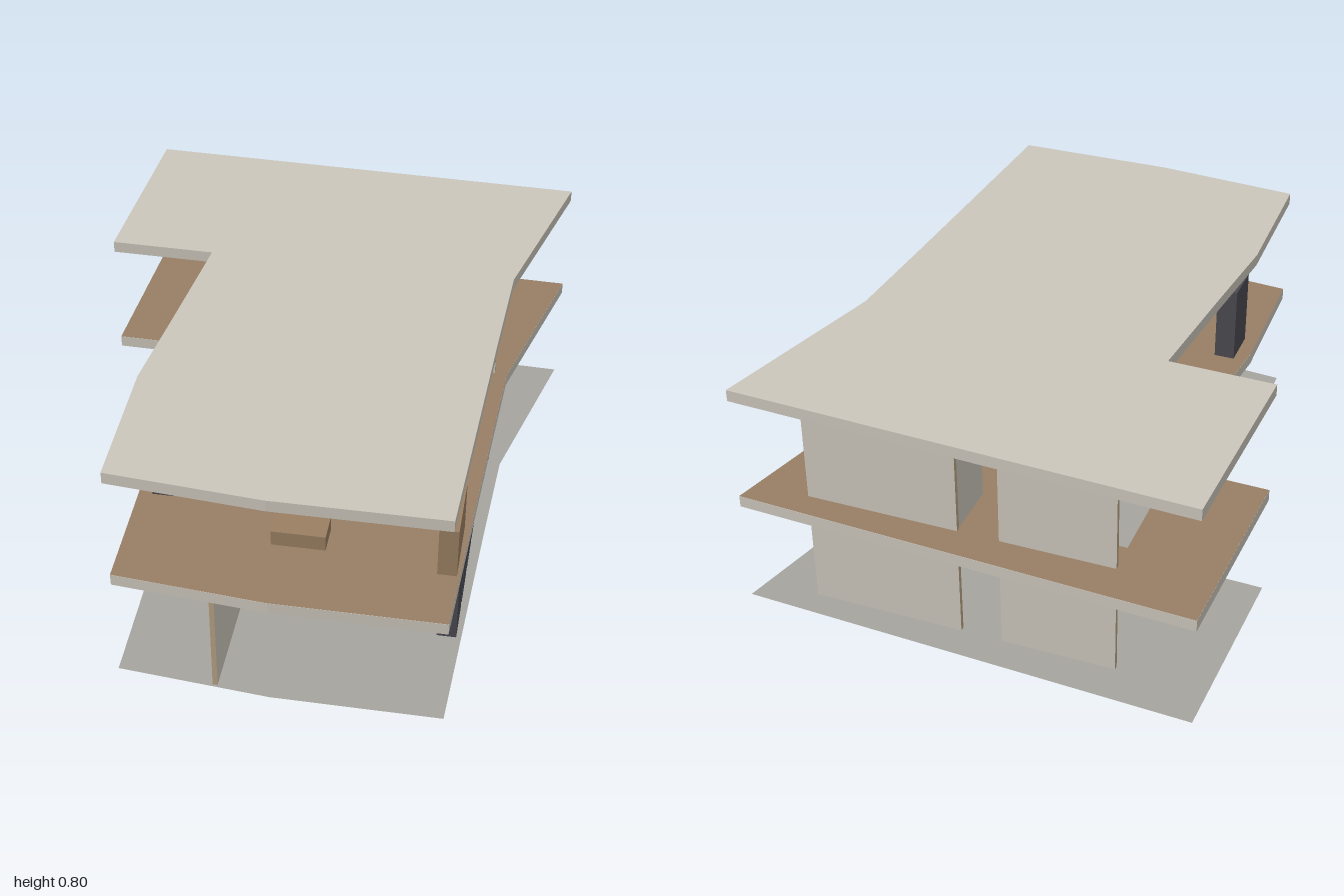
import * as THREE from 'three';

export function createModel() {
  const model = new THREE.Group();
  model.name = 'openHouse';

  const mat = (name, color, side = THREE.FrontSide) => {
    const m = new THREE.MeshStandardMaterial({ color, side });
    m.name = name;
    return m;
  };
  const cream = mat('plaster', 0xcbc6bc);
  const tan = mat('wallEdge', 0xb8a382);
  const wood = mat('woodFloor', 0x977f64, THREE.DoubleSide);
  const brown = mat('brownWood', 0x9a7f62);
  const dark = mat('charcoal', 0x4a4950);
  const blue = mat('blueFabric', 0x667a92);
  const grey = mat('groundGrey', 0xa6a49f, THREE.DoubleSide);

  const add = (name, geometry, material, parent = model) => {
    const mesh = new THREE.Mesh(geometry, material);
    mesh.name = name;
    parent.add(mesh);
    return mesh;
  };

  // Box given by its limits on each axis
  const box = (name, material, [x0, x1], [y0, y1], [z0, z1], parent = model) => {
    const mesh = add(name, new THREE.BoxGeometry(x1 - x0, y1 - y0, z1 - z0), material, parent);
    mesh.position.set((x0 + x1) / 2, (y0 + y1) / 2, (z0 + z1) / 2);
    return mesh;
  };

  // Plan outline shared by ground, floor and roof (x, z)
  const outline = [
    [-0.76, -1], [-0.785, -0.31], [-0.43, -0.3], [-0.47, 0.13], [-0.503, 0.46], [-0.49, 0.95],
    [0.01, 0.995], [0.56, 0.995], [0.6, 0.1], [0.62, -0.3], [0.78, -0.935],
  ];
  const stairHole = [[-0.46, -0.75], [-0.18, -0.75], [-0.18, -0.41], [-0.46, -0.41]];
  const toPoints = (list) => list.map(([x, z]) => new THREE.Vector2(x, -z));
  const plan = (withHole) => {
    const shape = new THREE.Shape(toPoints(outline));
    if (withHole) shape.holes.push(new THREE.Path(toPoints(stairHole)));
    return shape;
  };
  const slab = (name, y, depth, withHole) => {
    const geometry = new THREE.ExtrudeGeometry(plan(withHole), { depth, bevelEnabled: false });
    add(name, geometry.rotateX(-Math.PI / 2), cream).position.y = y;
  };
  const sheet = (name, y, material, withHole) => {
    add(name, new THREE.ShapeGeometry(plan(withHole)).rotateX(-Math.PI / 2), material).position.y = y;
  };

  sheet('ground', 0, grey, false);
  slab('upperSlab', 0.36, 0.04, true);
  sheet('upperFloorFinish', 0.401, wood, true);
  slab('roof', 0.762, 0.04, false);

  // Thin walls with doorways cut from the floor up; cut edges are tan
  const T = 0.016;
  const wall = (name, axis, at, from, to, y, doors) => {
    const pts = [[from, 0]];
    for (const [a, b] of doors) pts.push([a, 0], [a, 0.325], [b, 0.325], [b, 0]);
    pts.push([to, 0], [to, 0.361], [from, 0.361]);
    const shape = new THREE.Shape(pts.map(([u, v]) => new THREE.Vector2(u, v)));
    const geometry = new THREE.ExtrudeGeometry(shape, { depth: T, bevelEnabled: false });
    geometry.translate(0, 0, -T / 2);
    if (axis === 'z') geometry.rotateY(-Math.PI / 2);
    const mesh = add(name, geometry, [cream, tan]);
    mesh.position.set(axis === 'z' ? at : 0, y, axis === 'z' ? 0 : at);
  };
  const centralDoor = [-0.08, 0.06];
  const sideDoor = [-0.65, -0.51];
  wall('lowerBackWall', 'x', -0.85, -0.463, 0.575, 0, [centralDoor]);
  wall('upperBackWall', 'x', -0.85, -0.463, 0.575, 0.4, [centralDoor]);
  wall('lowerCrossWall', 'x', -0.315, -0.162, 0.578, 0, [centralDoor]);
  wall('upperCrossWall', 'x', -0.317, 0.078, 0.578, 0.4, []);
  wall('lowerLongWall', 'z', -0.17, -0.842, 0.97, 0, [sideDoor, [-0.22, -0.08]]);
  wall('upperBedroomWall', 'z', 0.07, -0.842, -0.309, 0.4, [sideDoor]);

  // Two-flight staircase with a half landing
  const stairs = new THREE.Group();
  stairs.name = 'staircase';
  model.add(stairs);
  const run = 0.038;
  for (let i = 0; i < 6; i++) {
    const top = (i + 1) * 0.031;
    const z = -0.42 - i * run;
    box('lowerStep', brown, [-0.46, -0.29], [Math.max(0.001, top - 0.045), top], [z - run, z], stairs);
    box('handrailPiece', dark, [-0.304, -0.296], [top + 0.121, top + 0.129], [z - run - 0.006, z], stairs);
    const upTop = 0.186 + (i + 1) * 0.0285;
    const uz = -0.648 + i * run;
    box('upperStep', brown, [-0.26, -0.179], [upTop - 0.045, upTop], [uz, uz + run], stairs);
  }
  box('landing', brown, [-0.46, -0.179], [0.155, 0.186], [-0.75, -0.648], stairs);
  box('stairwellRailing', dark, [-0.1, -0.088], [0.402, 0.556], [-0.75, -0.4]);

  // Ground floor furniture
  for (const [z0, z1] of [[0.48, 0.63], [0.315, 0.46], [0.145, 0.288], [-0.027, 0.123], [-0.195, -0.05]]) {
    box('tallCabinet', dark, [0.495, 0.56], [0.001, 0.267], [z0, z1]);
  }
  box('paleCupboard', cream, [0.465, 0.572], [0.001, 0.236], [-0.28, -0.2]);
  box('darkWardrobe', dark, [0.27, 0.42], [0.001, 0.267], [-0.4, -0.33]);
  box('lowChest', brown, [0.1, 0.21], [0.001, 0.05], [-0.44, -0.37]);
  box('paleStand', cream, [0.34, 0.44], [0.001, 0.122], [-0.82, -0.73]);
  box('bench', brown, [0.38, 0.44], [0.001, 0.05], [0.13, 0.31]).rotation.y = 0.15;
  box('stool', brown, [0.305, 0.365], [0.001, 0.05], [0.15, 0.22]);

  // Upper floor furniture
  box('upperWardrobe', dark, [-0.455, -0.385], [0.402, 0.67], [0.405, 0.55]);
  box('sofa', blue, [-0.077, 0.19], [0.402, 0.5], [0.445, 0.57]);
  box('coffeeTable', brown, [-0.03, 0.144], [0.402, 0.455], [0.63, 0.73]);
  box('sideboard', brown, [0.499, 0.56], [0.402, 0.579], [0.545, 0.78]);
  box('bed', cream, [0.28, 0.575], [0.402, 0.482], [-0.7, -0.46]);
  box('bedroomChest', cream, [0.2, 0.34], [0.402, 0.52], [-0.4, -0.327]);

  return model;
}
